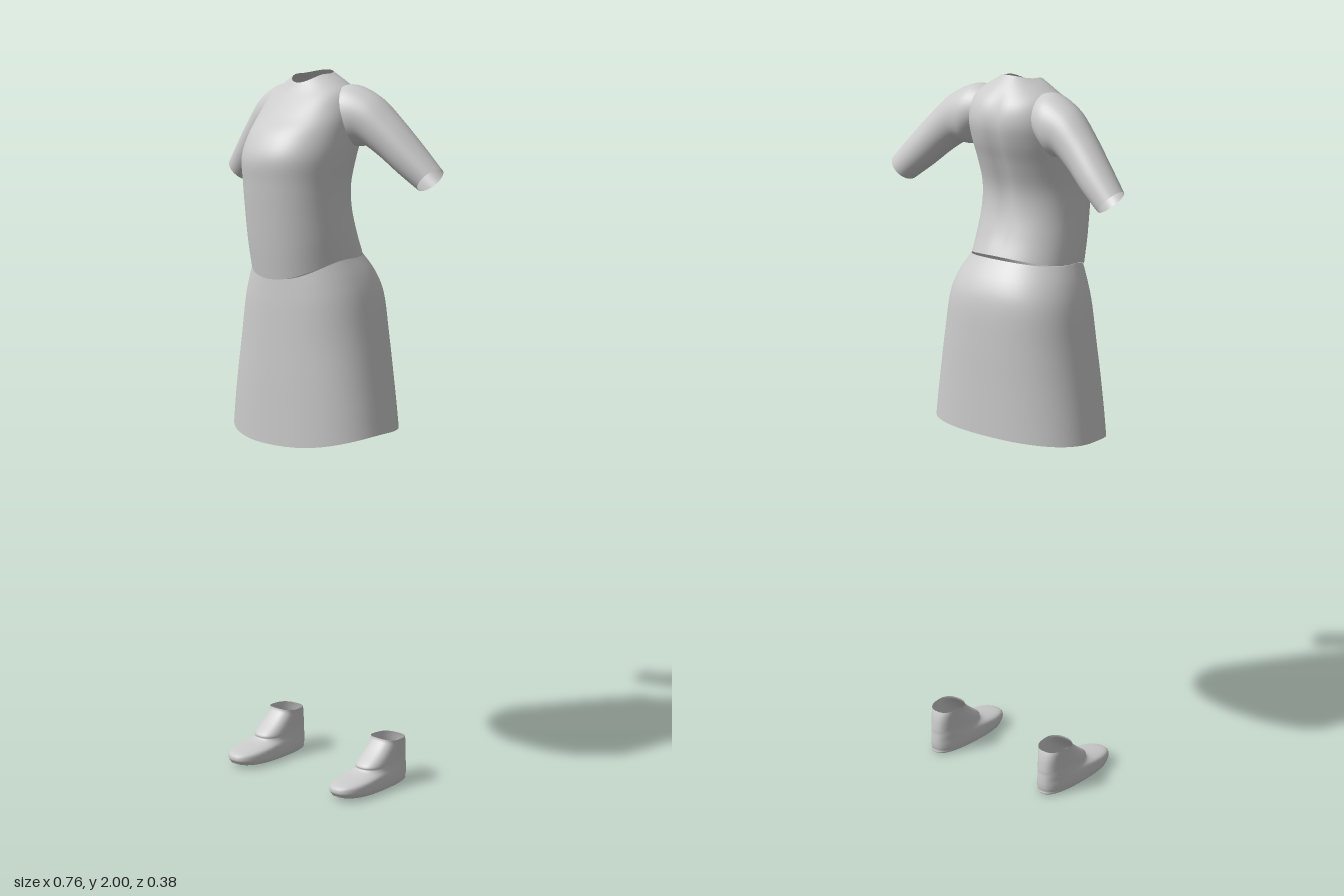
import * as THREE from 'three';

const material = new THREE.MeshStandardMaterial({ color: 0xcccccc, side: THREE.DoubleSide });

// Smoothly interpolate the number rows and skin closed rings through them.
function loft(name, rows, pointAt, steps = 5, sides = 56) {
  const pos = [], index = [];
  const rings = (rows.length - 1) * steps;
  for (let r = 0; r <= rings; r++) {
    const i = Math.min(Math.floor(r / steps), rows.length - 2), t = r / steps - i;
    const a = rows[Math.max(i - 1, 0)], b = rows[i], c = rows[i + 1], d = rows[Math.min(i + 2, rows.length - 1)];
    const row = b.map((v, k) => {
      const m0 = (c[k] - a[k]) / 2, m1 = (d[k] - v) / 2, t2 = t * t, t3 = t2 * t;
      return (2 * t3 - 3 * t2 + 1) * v + (t3 - 2 * t2 + t) * m0 + (3 * t2 - 2 * t3) * c[k] + (t3 - t2) * m1;
    });
    for (let s = 0; s < sides; s++) pos.push(...pointAt(row, (s / sides) * Math.PI * 2));
  }
  for (let r = 0; r < rings; r++) {
    for (let s = 0; s < sides; s++) {
      const p = r * sides + s, q = r * sides + ((s + 1) % sides);
      index.push(p, q, q + sides, p, q + sides, p + sides);
    }
  }
  const geo = new THREE.BufferGeometry();
  geo.setAttribute('position', new THREE.Float32BufferAttribute(pos, 3));
  geo.setIndex(index);
  geo.computeVertexNormals();
  const mesh = new THREE.Mesh(geo, material);
  mesh.name = name;
  return mesh;
}

// Rounded horizontal ring: row = [halfWidth, zFront, zBack, yFront, ySide, yBack]
const ringPoint = (power = 2, flare = 0) => ([w, zf, zb, yf, ys, yb], a) => {
  const round = (v) => Math.sign(v) * Math.abs(v) ** (2 / power);
  const c = round(Math.cos(a)), s = round(Math.sin(a));
  const y = ys + ((c > 0 ? yf : yb) - ys) * c * c;
  return [w * s * (1 + flare * c), y, (zf + zb) / 2 + c * (zf - zb) / 2];
};

// Torso ring with a shallow groove down the spine
const torsoRing = ringPoint(2.2);
function torsoPoint(row, a) {
  const [x, y, z] = torsoRing(row, a);
  const high = THREE.MathUtils.smoothstep(y, 1.5, 1.6) * (1 - THREE.MathUtils.smoothstep(y, 1.92, 1.98));
  const groove = Math.cos(a) < 0 ? 0.008 * high * Math.exp(-((x / 0.02) ** 2)) : 0;
  return [x, y, z + groove];
}

// Sleeve ring: row = [xTop, yTop, xBottom, yBottom, zFront, zBack]
function sleevePoint([xt, yt, xb, yb, zf, zb], a) {
  const up = -Math.sin(a) / 2, out = Math.cos(a) / 2;
  return [(xt + xb) / 2 + (xt - xb) * up, (yt + yb) / 2 + (yt - yb) * up, (zf + zb) / 2 + (zf - zb) * out];
}

function makeSleeve() {
  return loft('sleeve', [
    [0.08, 1.955, 0.11, 1.83, 0.03, -0.105],
    [0.13, 1.962, 0.14, 1.80, 0.03, -0.118],
    [0.20, 1.93, 0.17, 1.80, 0.012, -0.117],
    [0.26, 1.875, 0.215, 1.77, -0.008, -0.121],
    [0.32, 1.81, 0.265, 1.728, -0.028, -0.13],
    [0.378, 1.745, 0.322, 1.685, -0.05, -0.135],
  ], sleevePoint, 6, 40);
}

function makeShoe() {
  // Closed sole, flat toe, then the instep rising to an open ankle collar
  const shoe = loft('shoe', [
    [0.001, -0.05, -0.052, 0.004, 0.002, 0],
    [0.045, 0.085, -0.165, 0.008, 0.003, 0],
    [0.053, 0.105, -0.175, 0.016, 0.012, 0.01],
    [0.054, 0.111, -0.178, 0.028, 0.026, 0.025],
    [0.052, 0.098, -0.178, 0.042, 0.041, 0.04],
    [0.047, 0.025, -0.177, 0.054, 0.053, 0.052],
    [0.045, 0.002, -0.176, 0.063, 0.063, 0.063],
    [0.044, 0.0, -0.176, 0.074, 0.074, 0.074],
    [0.043, -0.04, -0.173, 0.104, 0.102, 0.10],
    [0.043, -0.066, -0.169, 0.128, 0.122, 0.118],
    [0.044, -0.071, -0.165, 0.138, 0.134, 0.13],
  ], ringPoint(2.5, 0.1), 4, 40);
  shoe.position.x = 0.198;
  return shoe;
}

export function createModel() {
  const model = new THREE.Group();
  model.name = 'outfit';

  // Fitted top, waist to neck opening
  model.add(loft('torso', [
    [0.152, 0.150, -0.130, 1.445, 1.50, 1.525],
    [0.150, 0.165, -0.108, 1.53, 1.56, 1.575],
    [0.146, 0.178, -0.090, 1.62, 1.63, 1.64],
    [0.145, 0.188, -0.090, 1.70, 1.70, 1.70],
    [0.149, 0.193, -0.112, 1.77, 1.77, 1.77],
    [0.149, 0.165, -0.135, 1.83, 1.83, 1.83],
    [0.144, 0.122, -0.145, 1.875, 1.89, 1.88],
    [0.125, 0.090, -0.135, 1.91, 1.94, 1.925],
    [0.090, 0.062, -0.106, 1.942, 1.968, 1.965],
    [0.050, 0.045, -0.073, 1.967, 1.99, 2.0],
  ], torsoPoint));

  // Flared skirt, open at hem and waist
  model.add(loft('skirt', [
    [0.260, 0.140, -0.189, 0.987, 1.03, 1.037],
    [0.250, 0.141, -0.189, 1.08, 1.10, 1.10],
    [0.235, 0.142, -0.189, 1.17, 1.19, 1.19],
    [0.217, 0.142, -0.189, 1.26, 1.29, 1.29],
    [0.198, 0.142, -0.185, 1.36, 1.39, 1.40],
    [0.178, 0.141, -0.165, 1.41, 1.45, 1.46],
    [0.153, 0.140, -0.125, 1.445, 1.50, 1.515],
  ], ringPoint(2.3)));

  // Mirrored sleeves and shoes
  for (const [side, sign] of [['left', 1], ['right', -1]]) {
    const half = new THREE.Group();
    half.name = side + 'SleeveAndShoe';
    half.add(makeSleeve(), makeShoe());
    half.scale.x = sign;
    model.add(half);
  }
  return model;
}
